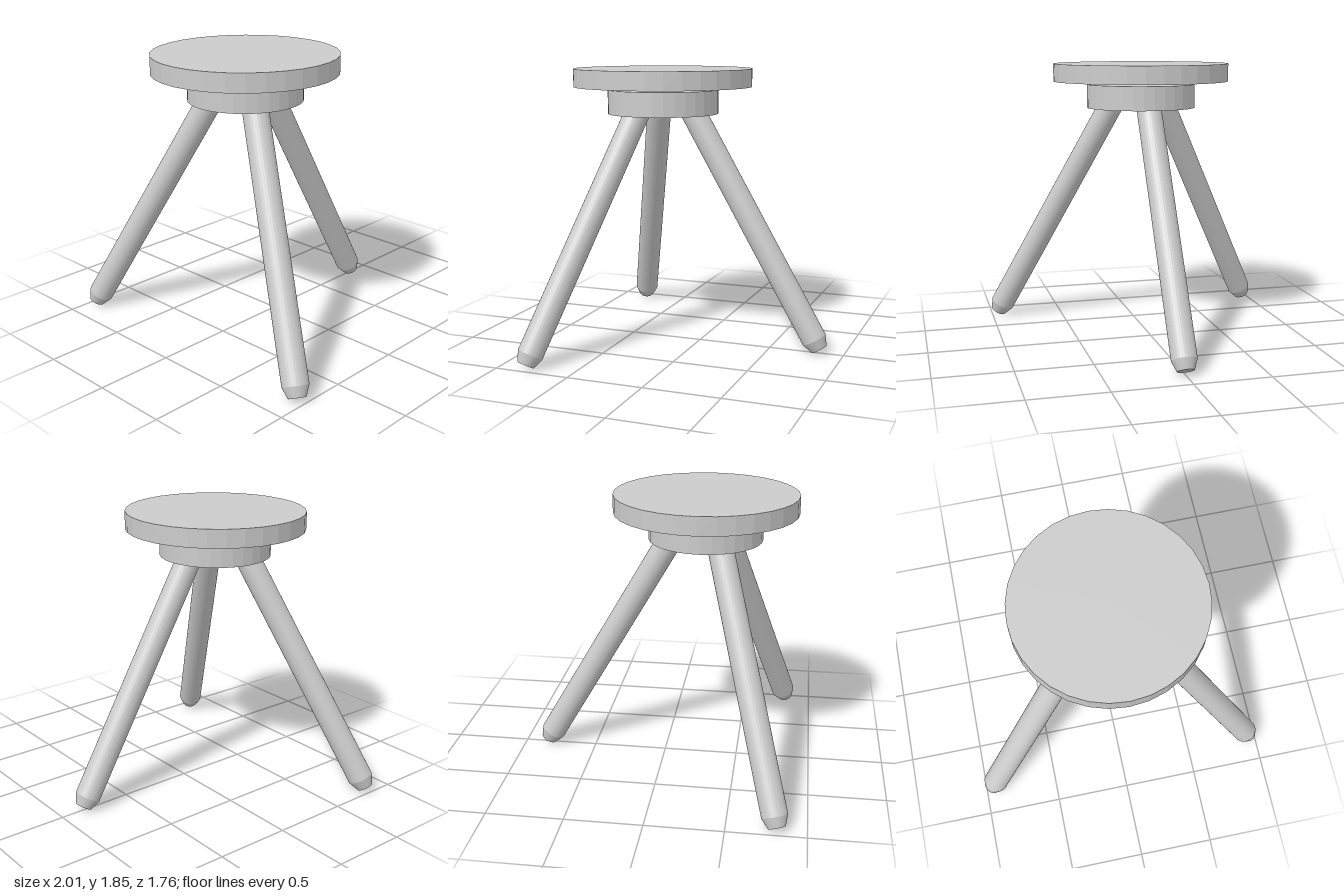
import * as THREE from 'three';

const SIDES = 32;

export function createModel() {
  const model = new THREE.Group();
  model.name = 'stool';
  const material = new THREE.MeshStandardMaterial({ color: 0xcccccc, flatShading: true });

  // Everything is arranged around the seat axis, which sits forward of the origin
  const centerZ = 0.264;

  function disc(name, radius, bottom, top) {
    const mesh = new THREE.Mesh(
      new THREE.CylinderGeometry(radius, radius, top - bottom, SIDES), material);
    mesh.name = name;
    mesh.position.set(0, (bottom + top) / 2, centerZ);
    model.add(mesh);
  }

  // Round seat above a smaller hub, with a narrow gap between them
  disc('seat', 0.597, 1.73, 1.85);
  disc('hub', 0.37, 1.55, 1.71);

  // Leg profile: tapered foot, straight shaft, flat top
  const profile = [[0, 0], [0.055, 0], [0.083, 0.07], [0.083, 1.787], [0, 1.787]]
    .map(([r, y]) => new THREE.Vector2(r, y));
  const legGeometry = new THREE.LatheGeometry(profile, SIDES);

  // Three splayed legs: one at the back, two at the front
  ['backLeg', 'frontRightLeg', 'frontLeftLeg'].forEach((name, i) => {
    const pivot = new THREE.Group();
    pivot.name = name;
    pivot.position.z = centerZ;
    pivot.rotation.y = i * Math.PI * 2 / 3;
    const leg = new THREE.Mesh(legGeometry, material);
    leg.name = name + 'Shaft';
    leg.position.set(0, 0.0275, -1.102);
    leg.rotation.x = Math.PI / 6;
    pivot.add(leg);
    model.add(pivot);
  });

  return model;
}
